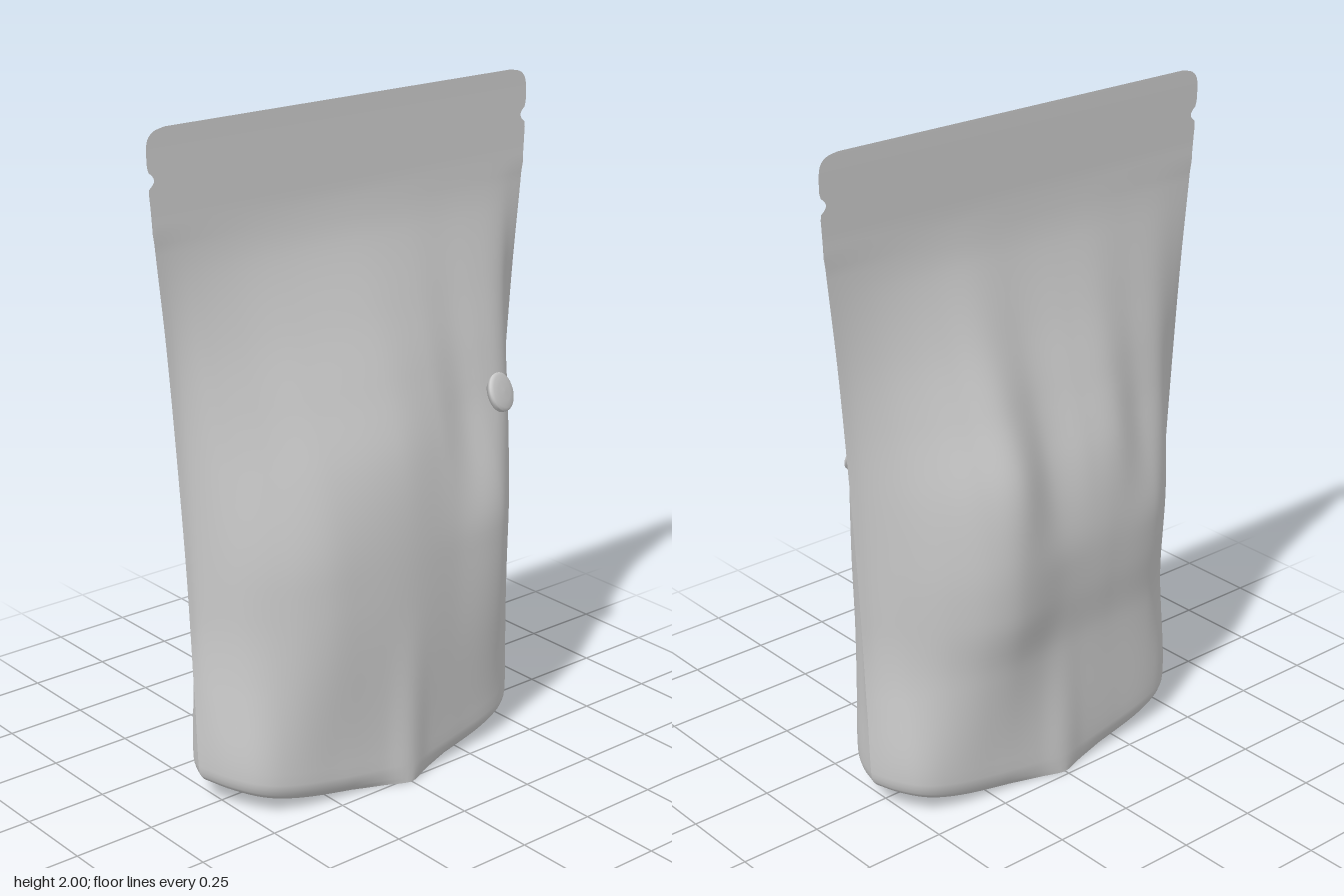
import * as THREE from 'three';

const SEAM = -0.02; // z of the side seams

// Smooth curve through [position, value] pairs
function curve(pts) {
  const slope = (i) => {
    const a = pts[Math.max(i - 1, 0)], b = pts[Math.min(i + 1, pts.length - 1)];
    return (b[1] - a[1]) / (b[0] - a[0]);
  };
  return (x) => {
    if (x <= pts[0][0]) return pts[0][1];
    if (x >= pts[pts.length - 1][0]) return pts[pts.length - 1][1];
    let i = 0;
    while (x > pts[i + 1][0]) i++;
    const [x0, y0] = pts[i], [x1, y1] = pts[i + 1], h = x1 - x0, t = (x - x0) / h;
    const t2 = t * t, t3 = t2 * t;
    return y0 * (2 * t3 - 3 * t2 + 1) + slope(i) * h * (t3 - 2 * t2 + t)
      + y1 * (3 * t2 - 2 * t3) + slope(i + 1) * h * (t3 - t2);
  };
}

// Half width by height, with tear notch and rounded corners
const halfWidth = curve([[0, 0.545], [0.02, 0.558], [0.06, 0.565], [0.3, 0.572], [0.7, 0.588], [1, 0.606],
  [1.4, 0.635], [1.7, 0.664], [1.8, 0.671], [1.84, 0.672], [1.85, 0.661], [1.862, 0.655], [1.875, 0.661],
  [1.885, 0.672], [1.9, 0.676], [1.94, 0.677], [1.97, 0.672], [1.985, 0.661], [1.994, 0.645], [2, 0.615]]);

// Bulge of each panel by height
const frontDepth = curve([[0, 0.29], [0.5, 0.28], [0.8, 0.268], [1, 0.235], [1.2, 0.163], [1.4, 0.086],
  [1.6, 0.022], [1.72, 0.003], [1.8, 0.0015], [2, 0.0015]]);
const backDepth = curve([[0, 0.215], [0.42, 0.22], [0.6, 0.245], [0.8, 0.25], [1, 0.228], [1.2, 0.153],
  [1.4, 0.076], [1.6, 0.018], [1.72, 0.003], [1.8, 0.0015], [2, 0.0015]]);

// Cross-sections: base, middle and shoulder
const baseProfile = curve([[-1, 0], [-0.95, 0.3], [-0.85, 0.6], [-0.7, 0.75], [-0.4, 0.85], [-0.15, 0.93], [0, 1],
  [0.15, 0.93], [0.4, 0.85], [0.7, 0.75], [0.85, 0.6], [0.95, 0.3], [1, 0]]);
const frontMid = curve([[-1, 0], [-0.96, 0.06], [-0.83, 0.48], [-0.67, 0.75], [-0.5, 0.91], [-0.33, 0.97], [0, 1],
  [0.33, 0.93], [0.67, 0.86], [0.83, 0.6], [0.92, 0.3], [0.97, 0.08], [1, 0]]);
const frontTop = curve([[-1, 0], [-0.96, 0.06], [-0.83, 0.4], [-0.67, 0.65], [-0.4, 0.9], [0, 1], [0.3, 0.85],
  [0.5, 0.68], [0.68, 0.64], [0.8, 0.58], [0.88, 0.44], [0.95, 0.16], [1, 0]]);
const backMid = curve([[-1, 0], [-0.95, 0.12], [-0.83, 0.45], [-0.67, 0.68], [-0.33, 0.8], [0, 0.87], [0.33, 1],
  [0.5, 0.92], [0.67, 0.68], [0.83, 0.35], [0.95, 0.08], [1, 0]]);
const backTop = curve([[-1, 0], [-0.95, 0.1], [-0.8, 0.38], [-0.6, 0.5], [-0.4, 0.72], [-0.2, 0.74], [0.05, 0.72],
  [0.3, 1], [0.5, 0.86], [0.67, 0.62], [0.83, 0.32], [0.95, 0.08], [1, 0]]);

// Point on a panel: u across (-1..1), h up (0..2), side 1 front or -1 back
function panelPoint(u, h, side) {
  const low = THREE.MathUtils.smoothstep(h, 0.05, 0.6), high = THREE.MathUtils.smoothstep(h, 0.7, 1.1);
  const mid = side > 0 ? frontMid : backMid, top = side > 0 ? frontTop : backTop;
  let p = THREE.MathUtils.lerp(baseProfile(u), mid(u), low);
  p = THREE.MathUtils.lerp(p, top(u), high);
  if (h > 1.72) p = 1;
  const turnIn = 1 - 0.1 * Math.min(1, Math.abs(u) * 3) * Math.max(0, 1 - h / 0.06) ** 2;
  const depth = (side > 0 ? frontDepth : backDepth)(h) * p * turnIn;
  const lift = 0.075 * Math.abs(u) ** 1.9 * Math.max(0, 1 - h / 0.4);
  const lean = -0.005 * THREE.MathUtils.smoothstep(h, 1.7, 2);
  return new THREE.Vector3(u * halfWidth(h), h + lift, SEAM + lean + side * depth);
}

// Indexed grid from a point rule
function grid(cols, rows, point, flip) {
  const pos = [], idx = [], n = cols + 1;
  for (let j = 0; j <= rows; j++)
    for (let i = 0; i <= cols; i++) pos.push(...point(i, j).toArray());
  for (let j = 0; j < rows; j++)
    for (let i = 0; i < cols; i++) {
      const a = j * n + i, b = a + 1, c = a + n, d = c + 1;
      if (flip) idx.push(a, d, b, a, c, d);
      else idx.push(a, b, d, a, d, c);
    }
  const g = new THREE.BufferGeometry();
  g.setAttribute('position', new THREE.Float32BufferAttribute(pos, 3));
  g.setIndex(idx);
  g.computeVertexNormals();
  return g;
}

export function createModel() {
  const group = new THREE.Group();
  const film = new THREE.MeshStandardMaterial({ color: 0xcccccc, side: THREE.DoubleSide });
  film.name = 'grey film';
  const pale = new THREE.MeshStandardMaterial({ color: 0xe8e8e8, side: THREE.DoubleSide });
  pale.name = 'pale film';
  const add = (name, geometry, material = film) => {
    const m = new THREE.Mesh(geometry, material);
    m.name = name;
    group.add(m);
    return m;
  };

  // Row heights, closer at the base, notch and top corners
  const heights = [0, 0.01, 0.02, 0.04, 0.06];
  for (let h = 0.1; h < 1.79; h += 0.03) heights.push(h);
  heights.push(1.8, 1.825, 1.84, 1.85, 1.856, 1.862, 1.868, 1.875, 1.885, 1.9, 1.94, 1.96, 1.97, 1.978, 1.985, 1.99, 1.994, 1.997, 2);
  const cols = 80;
  const across = (i) => Math.sin((i / cols - 0.5) * Math.PI) * 0.4 + (i / cols * 2 - 1) * 0.6;

  // Front and back panels
  for (const [name, side] of [['frontPanel', 1], ['backPanel', -1]])
    add(name, grid(cols, heights.length - 1, (i, j) => panelPoint(across(i), heights[j], side), side < 0));

  // Base gusset, slightly arched between the panels
  const rows = 12;
  add('baseGusset', grid(cols, rows, (i, j) => {
    const u = across(i), v = j / rows;
    const p = panelPoint(u, 0, -1).lerp(panelPoint(u, 0, 1), v);
    p.y += 0.02 * Math.sin(v * Math.PI);
    return p;
  }));

  // Pale pointed strip across the middle of the base
  const lens = new THREE.Shape();
  lens.moveTo(0, 0.265);
  lens.quadraticCurveTo(0.13, 0.02, 0, -0.23);
  lens.quadraticCurveTo(-0.13, 0.02, 0, 0.265);
  const strip = new THREE.ExtrudeGeometry(lens, { depth: 0.006, bevelEnabled: false, curveSegments: 16 });
  strip.rotateX(Math.PI / 2);
  strip.translate(0, 0.006, 0);
  add('baseStrip', strip, pale);

  // Round valve lying on the front panel
  const dome = [[0, 0.012], [0.03, 0.011], [0.05, 0.008], [0.058, 0.004], [0.06, 0], [0.06, -0.012], [0, -0.012]]
    .reverse().map(([r, y]) => new THREE.Vector2(r, y));
  const valve = add('valve', new THREE.LatheGeometry(dome, 40));
  const spot = panelPoint(0.475 / halfWidth(1.075), 1.075, 1);
  valve.position.set(0.475, 1.075, spot.z + 0.008);
  valve.quaternion.setFromUnitVectors(new THREE.Vector3(0, 1, 0), new THREE.Vector3(0.32, 0.42, 1).normalize());

  return group;
}
